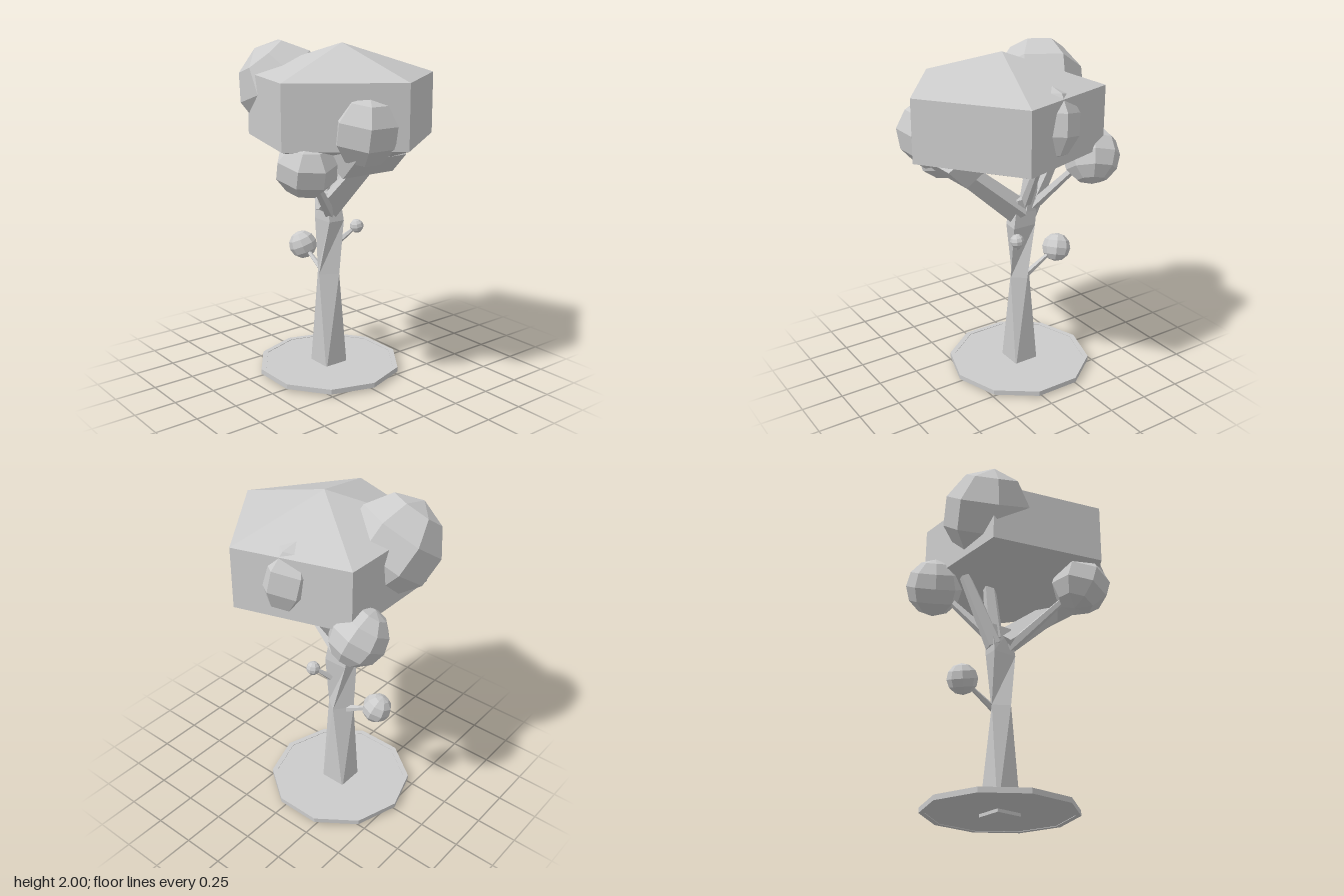
import * as THREE from 'three';

export function createModel() {
  const tree = new THREE.Group();
  const mat = new THREE.MeshStandardMaterial({ color: 0xcccccc, flatShading: true, side: THREE.DoubleSide });
  const V = (p) => new THREE.Vector3(...p);

  function add(name, geo, pos = [0, 0, 0], rot = [0, 0, 0], scale = [1, 1, 1]) {
    const m = new THREE.Mesh(geo, mat);
    m.name = name;
    m.position.set(...pos);
    m.rotation.set(...rot);
    m.scale.set(...scale);
    tree.add(m);
    return m;
  }

  // Tapered faceted limb between two points
  function limb(name, a, b, ra, rb, sides = 5) {
    const from = V(a), to = V(b), dir = to.clone().sub(from);
    const m = add(name, new THREE.CylinderGeometry(rb, ra, dir.length(), sides));
    m.position.copy(from).add(to).multiplyScalar(0.5);
    m.quaternion.setFromUnitVectors(new THREE.Vector3(0, 1, 0), dir.normalize());
  }

  // Low-poly foliage clump
  const clump = (name, pos, scale, rot, w, h) =>
    add(name, new THREE.SphereGeometry(1, w, h), pos, rot, scale);

  // Ground plate: decagon floor with a slightly raised rim
  const cx = -0.107;
  const decagon = (r) => Array.from({ length: 10 }, (_, i) =>
    new THREE.Vector2(r * Math.cos(i * Math.PI / 5), r * Math.sin(i * Math.PI / 5)));
  const rim = new THREE.Shape(decagon(0.437));
  rim.holes.push(new THREE.Path(decagon(0.405)));
  add('groundRim', new THREE.ExtrudeGeometry(rim, { depth: 0.03, bevelEnabled: false }),
    [cx, 0.045, 0], [Math.PI / 2, 0, 0]);
  add('groundFloor', new THREE.ExtrudeGeometry(new THREE.Shape(decagon(0.41)), { depth: 0.024, bevelEnabled: false }),
    [cx, 0.042, 0], [Math.PI / 2, 0, 0]);

  // Trunk: four-sided sections [y, then x/z corners], twisting on the way up
  const sections = [
    [0.0, [-0.19, 0.08], [-0.03, 0.08], [-0.03, -0.08], [-0.19, -0.08]],
    [0.62, [-0.19, 0.02], [-0.1, 0.08], [-0.03, -0.02], [-0.11, -0.08]],
    [0.95, [-0.19, 0.04], [-0.04, 0.045], [-0.03, -0.055], [-0.18, -0.055]],
    [1.12, [-0.2, 0.03], [-0.07, 0.04], [-0.06, -0.045], [-0.2, -0.045]],
  ];
  const pos = [], idx = [];
  sections.forEach(([y, ...c]) => c.forEach(([x, z]) => pos.push(x, y, z)));
  for (let s = 0; s < sections.length - 1; s++) {
    for (let i = 0; i < 4; i++) {
      const a = s * 4 + i, b = s * 4 + (i + 1) % 4;
      idx.push(a, b, b + 4, a, b + 4, a + 4);
    }
  }
  const top = (sections.length - 1) * 4;
  idx.push(0, 2, 1, 0, 3, 2, top, top + 1, top + 2, top, top + 2, top + 3);
  const trunk = new THREE.BufferGeometry();
  trunk.setAttribute('position', new THREE.Float32BufferAttribute(pos, 3));
  trunk.setIndex(idx);
  trunk.computeVertexNormals();
  add('trunk', trunk);

  // Main fork and the thinner branches that carry the clumps
  limb('rightFork', [-0.1, 1.03, 0], [0.4, 1.46, 0.04], 0.08, 0.055, 4);
  limb('leftFork', [-0.16, 1.0, 0.0], [-0.34, 1.42, -0.06], 0.055, 0.035);
  limb('middleFork', [-0.15, 1.04, -0.01], [-0.2, 1.48, -0.02], 0.055, 0.035);
  limb('frontBranch', [-0.07, 1.0, 0.02], [0.16, 1.33, 0.34], 0.035, 0.018);
  limb('backBranch', [-0.17, 1.05, -0.02], [-0.4, 1.38, -0.24], 0.035, 0.018);
  limb('rearBranch', [-0.13, 1.08, -0.02], [-0.06, 1.5, -0.3], 0.035, 0.018);

  // Twigs with small round clumps
  limb('lowTwig', [-0.15, 0.6, 0], [-0.36, 0.72, -0.005], 0.022, 0.01);
  clump('lowTwigBall', [-0.38, 0.73, -0.005], [0.088, 0.088, 0.088], [0.2, 0.2, 0.3], 8, 6);
  limb('highTwig', [-0.06, 0.82, -0.04], [-0.003, 0.905, -0.125], 0.02, 0.009);
  clump('highTwigBall', [0, 0.91, -0.13], [0.042, 0.042, 0.042], [0.2, 0.2, 0], 8, 6);

  // Main crown: five-sided block with a shallow point above and below
  clump('crown', [0.02, 1.64, 0], [0.66, 0.36, 0.66], [0, Math.PI, 0], 5, 3);

  // Clumps around the crown
  clump('frontLeftClump', [-0.335, 1.735, 0.15], [0.27, 0.28, 0.275], [0.5, 0.3, 0.3], 7, 5);
  clump('backLeftClump', [-0.425, 1.395, -0.255], [0.165, 0.17, 0.17], [0.4, 0.3, 0.3], 8, 6);
  clump('frontClump', [0.185, 1.355, 0.375], [0.18, 0.16, 0.175], [0.2, 0.4, -0.3], 7, 5);
  clump('backClump', [-0.05, 1.67, -0.365], [0.165, 0.2, 0.165], [0.1, 0.5, 0.15], 6, 5);
  clump('rightClump', [0.4, 1.56, 0.145], [0.19, 0.2, 0.19], [0.1, 0.5, -0.2], 6, 5);

  // Tilted five-sided block above the right fork
  clump('forkClump', [0.21, 1.53, 0.06], [0.35, 0.155, 0.35], [0, 0, -Math.PI / 4], 5, 3)
    .geometry.rotateY(0);
  // Turn the block so one of its flat sides faces down and outward
  return tree;
}
